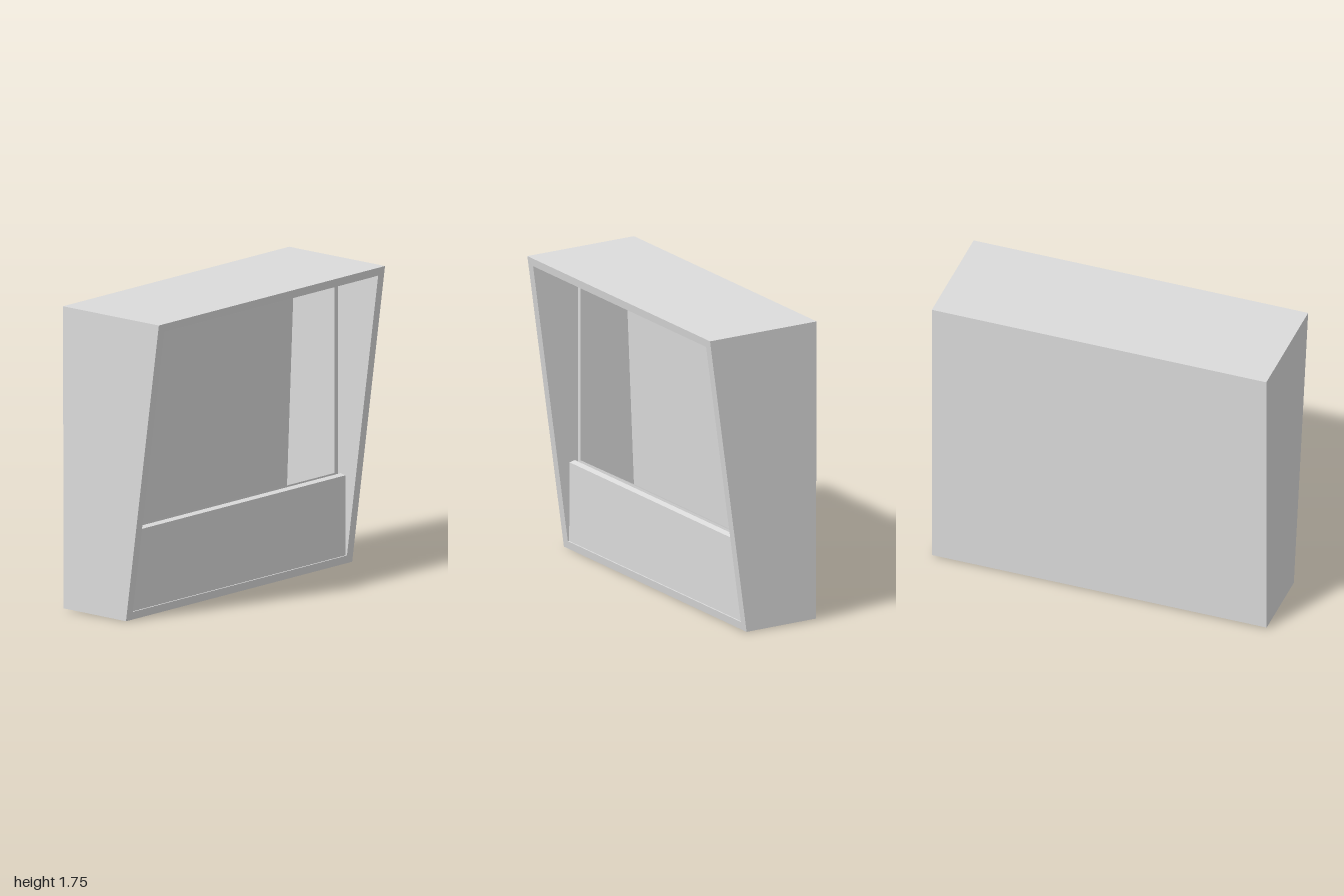
import * as THREE from 'three';

// Rectangular ring of four corners, given half width and [y, z] of its bottom and top edges
const ring = (hw, [yb, zb], [yt, zt]) => [
  [-hw, yb, zb], [hw, yb, zb], [hw, yt, zt], [-hw, yt, zt],
];

// Flat-faced skin through successive rings, optionally closed at either end
function loft(rings, capStart, capEnd) {
  const pos = [];
  const quad = (a, b, c, d) => pos.push(...a, ...b, ...c, ...a, ...c, ...d);
  for (let r = 0; r < rings.length - 1; r++) {
    const a = rings[r], b = rings[r + 1];
    for (let i = 0; i < 4; i++) {
      const j = (i + 1) % 4;
      quad(a[i], a[j], b[j], b[i]);
    }
  }
  if (capStart) quad(...[...rings[0]].reverse());
  if (capEnd) quad(...rings[rings.length - 1]);
  const geometry = new THREE.BufferGeometry();
  geometry.setAttribute('position', new THREE.Float32BufferAttribute(pos, 3));
  geometry.computeVertexNormals();
  return geometry;
}

export function createModel() {
  const group = new THREE.Group();
  group.name = 'cabinet';
  const grey = new THREE.MeshStandardMaterial({ color: 0xdbdbdb });
  grey.name = 'grey';

  const add = (name, geometry) => {
    const mesh = new THREE.Mesh(geometry, grey);
    mesh.name = name;
    group.add(mesh);
  };

  const back = ring(1, [0.01, -0.345], [1.752, -0.35]);
  const front = ring(1, [0, 0.11], [1.74, 0.35]);
  const opening = ring(0.947, [0.046, 0.116], [1.693, 0.344]);
  const stepOuter = ring(0.947, [0.046, 0.05], [1.693, 0.05]);
  const stepInner = ring(0.917, [0.518, 0.05], [1.652, 0.05]);
  const cavityBack = ring(0.917, [0.325, -0.3], [1.65, -0.245]);

  // Outer body with leaning front edge
  add('outerShell', loft([back, front], true, false));
  // Narrow border around the opening
  add('frontFrame', loft([front, opening]));
  // Recess walls and the small step behind the frame
  add('recessWalls', loft([opening, stepOuter, stepInner]));
  // Deep inner cavity with tilted back and sloping floor
  add('innerCavity', loft([stepInner, cavityBack], false, true));
  // Lower panel with a narrow sloped top ledge
  add('lowerPanel', loft([
    ring(0.947, [0.046, 0.07], [0.515, 0.07]),
    ring(0.947, [0.046, 0.107], [0.507, 0.105]),
  ], true, true));
  // Lowered recess ceiling, sloping down towards the cavity
  add('recessCeiling', loft([
    ring(0.947, [1.652, 0.05], [1.693, 0.05]),
    ring(0.947, [1.677, 0.3], [1.693, 0.3]),
  ], true, true));

  return group;
}
